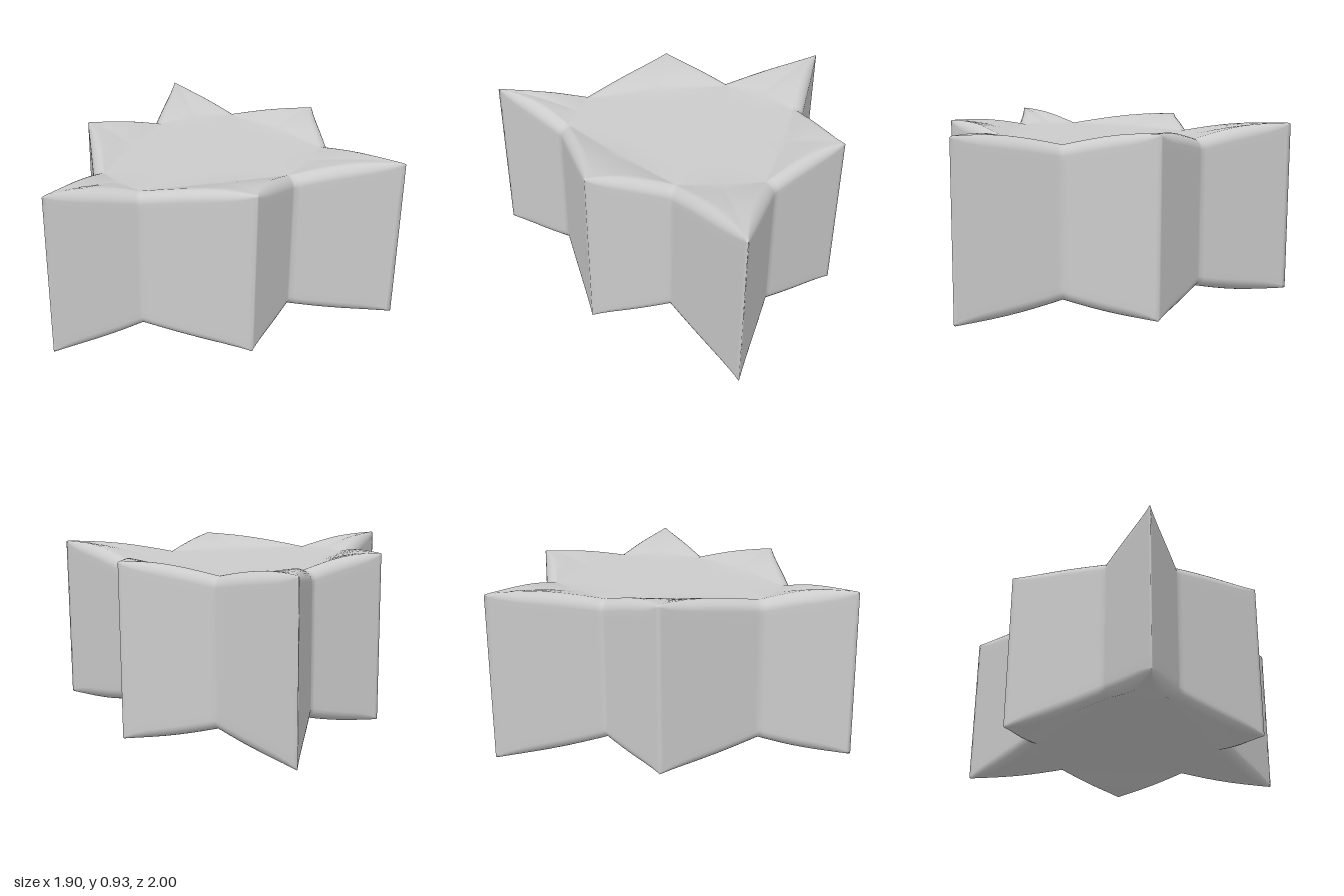
import * as THREE from 'three';
import { mergeVertices } from 'three/addons/utils/BufferGeometryUtils.js';

const V2 = (x, z) => new THREE.Vector2(x, z);
const MID = 0.4625, PLATEAU = 0.395, BEVEL_IN = 0.055, BEVEL_DROP = 0.055;

// Right half of the star outline; even corners are tips, odd corners valleys
const half = [[0, -1], [0.39, -0.71], [0.95, -0.69], [0.59, -0.21], [0.71, 0.2], [0.2, 0.54], [0, 1]];
const corners = [
  ...half.map(([x, z]) => V2(x, z)),
  ...half.slice(1, -1).reverse().map(([x, z]) => V2(-x, z)),
];
const at = (i) => corners[(i + 12) % 12];

// Mitred inward offset of a corner, for a unit inset
function miter(i) {
  const normal = (a, b) => { const d = b.clone().sub(a).normalize(); return V2(-d.y, d.x); };
  const n1 = normal(at(i - 1), at(i)), n2 = normal(at(i), at(i + 1));
  return n1.clone().add(n2).divideScalar(1 + n1.dot(n2));
}

// Samples round the outline; t is 0 at a valley and 1 at a tip
const steps = [0, 0.05, 0.15, 0.3, 0.45, 0.6, 0.75, 0.88, 0.96];
const samples = [];
for (let i = 0; i < 12; i++) {
  const fromTip = i % 2 === 0;
  const v = fromTip ? i + 1 : i, tip = fromTip ? i : i + 1;
  const base = at(tip - 1).clone().add(at(tip + 1)).multiplyScalar(0.5);
  const baseIn = miter(tip - 1).add(miter(tip + 1)).multiplyScalar(0.5 * BEVEL_IN);
  base.add(baseIn);
  const valleyIn = at(v).clone().addScaledVector(miter(v), BEVEL_IN);
  const list = fromTip ? [1, ...steps.slice(1).reverse()] : steps;
  for (const t of list) {
    const soft = 1 - 0.85 * t ** 6; // the rounding tapers off at the tips
    samples.push({
      t, soft,
      edge: at(v).clone().lerp(at(tip), t),
      inset: miter(v).lerp(miter(tip), t).multiplyScalar(BEVEL_IN * soft),
      chord: valleyIn.clone().lerp(base, t),
    });
  }
}

// Height above the middle: flat in the centre, sweeping up to each tip
const lift = (t) => PLATEAU + (MID - PLATEAU) * Math.sin(t * Math.PI / 2);

// Rows of the upper half, from the wall over the rounded rim to the centre
const rows = [];
for (const f of [0.25, 0.6, 0.9]) {
  rows.push((s) => [s.edge, f * (lift(s.t) - BEVEL_DROP * s.soft)]);
}
for (let k = 0; k <= 6; k++) {
  const a = k / 6 * Math.PI / 2;
  rows.push((s) => [
    s.edge.clone().addScaledVector(s.inset, 1 - Math.cos(a)),
    lift(s.t) - BEVEL_DROP * s.soft * (1 - Math.sin(a)),
  ]);
}
for (let k = 1; k <= 6; k++) {
  rows.push((s) => [s.edge.clone().add(s.inset).lerp(s.chord, k / 6), lift(s.t * (1 - k / 6))]);
}
const centre = V2(0, -0.1);
for (const k of [0.3, 0.65, 1]) {
  rows.push((s) => [s.chord.clone().lerp(centre, k), PLATEAU]);
}

function starGeometry() {
  const positions = [], index = [], n = samples.length;
  const addRow = (row, sign) => {
    for (const s of samples) {
      const [p, h] = row(s);
      positions.push(p.x, MID + sign * h, p.y);
    }
  };
  [...rows].reverse().forEach((row) => addRow(row, -1));
  rows.forEach((row) => addRow(row, 1));
  for (let r = 0; r < rows.length * 2 - 1; r++) {
    for (let i = 0; i < n; i++) {
      const j = (i + 1) % n;
      const a = r * n + i, b = r * n + j, c = a + n, d = b + n;
      index.push(a, c, b, b, c, d);
    }
  }
  const g = new THREE.BufferGeometry();
  g.setAttribute('position', new THREE.Float32BufferAttribute(positions, 3));
  g.setIndex(index);
  const merged = mergeVertices(g, 1e-4);
  merged.computeVertexNormals();
  return merged;
}

export function createModel() {
  const group = new THREE.Group();
  group.name = 'star';
  const body = new THREE.Mesh(starGeometry(), new THREE.MeshStandardMaterial({ color: 0xcccccc }));
  body.name = 'starBody';
  group.add(body);
  return group;
}
